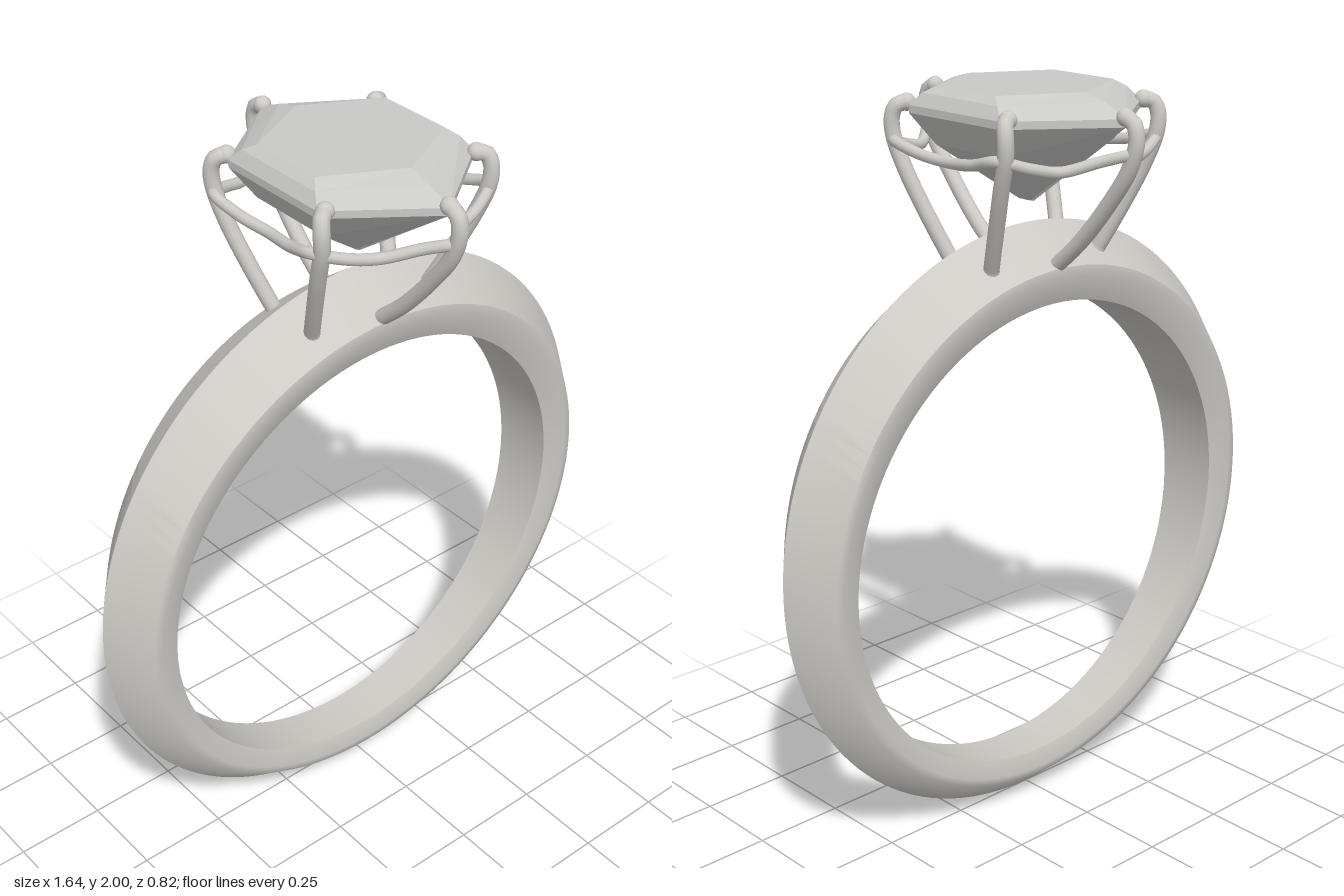
import * as THREE from 'three';
import { toCreasedNormals } from 'three/addons/utils/BufferGeometryUtils.js';

const V = (x, y, z) => new THREE.Vector3(x, y, z);

// Skin between rows of points; each row is a closed loop.
function loft(rows, capped) {
  const n = rows[0].length, pos = [];
  const tri = (...pts) => pts.forEach((p) => pos.push(p.x, p.y, p.z));
  for (let r = 0; r < rows.length - 1; r++) {
    for (let i = 0; i < n; i++) {
      const j = (i + 1) % n, a = rows[r], b = rows[r + 1];
      tri(a[i], b[i], a[j]);
      tri(a[j], b[i], b[j]);
    }
  }
  if (capped) {
    const top = rows[0], bottom = rows[rows.length - 1];
    for (let i = 1; i < n - 1; i++) {
      tri(top[0], top[i], top[i + 1]);
      tri(bottom[0], bottom[i + 1], bottom[i]);
    }
  }
  const g = new THREE.BufferGeometry();
  g.setAttribute('position', new THREE.Float32BufferAttribute(pos, 3));
  g.computeVertexNormals();
  return g;
}

export function createModel() {
  const model = new THREE.Group();
  const metal = new THREE.MeshStandardMaterial({ color: 0xcdcac5 });
  metal.name = 'metal';
  const stone = new THREE.MeshStandardMaterial({ color: 0xc9c9c8 });
  stone.name = 'stone';
  const add = (geometry, material, name, parent = model) => {
    const mesh = new THREE.Mesh(geometry, material);
    mesh.name = name;
    parent.add(mesh);
    return mesh;
  };

  // Band: ridged section, wider towards the top. [radius, centre height, width factor]
  const profile = [
    [0.82, 0.82, 0],
    [0.738, 0.803, 0.97], [0.715, 0.8, 1], [0.655, 0.7875, 0.8],
    [0.655, 0.7875, -0.8], [0.715, 0.8, -1], [0.738, 0.803, -0.97],
    [0.82, 0.82, 0],
  ];
  const bandRows = profile.map(([r, cy, w]) => {
    const row = [];
    for (let i = 0; i < 128; i++) {
      const a = -i / 128 * Math.PI * 2;
      const y = cy + r * Math.sin(a);
      row.push(V(r * Math.cos(a), y, w * (0.077 + 0.041 * y)));
    }
    return row;
  });
  add(toCreasedNormals(loft(bandRows, false), 0.8), metal, 'band');

  // Gem: stacked long hexagons. [height, half width, side corner z, point z]
  const gemRows = [
    [2.0, 0.203, 0.11, 0.218],
    [1.982, 0.226, 0.14, 0.283],
    [1.95, 0.245, 0.17, 0.353],
    [1.93, 0.245, 0.17, 0.353],
    [1.85, 0.195, 0.125, 0.24],
    [1.7, 0.004, 0.02, 0.03],
  ].map(([y, x, c, p]) => [
    V(0, y, p), V(x, y, c), V(x, y, -c), V(0, y, -p), V(-x, y, -c), V(-x, y, c),
  ]);
  add(loft(gemRows, true), stone, 'gem');

  // Prongs with rounded tips
  const pointProng = [
    [0, 1.54, 0.11], [0, 1.62, 0.2], [0, 1.74, 0.305], [0, 1.83, 0.368],
    [0, 1.9, 0.39], [0, 1.94, 0.382], [0, 1.955, 0.352],
  ];
  const cornerProng = [
    [0.19, 1.555, 0.075], [0.22, 1.66, 0.125], [0.25, 1.78, 0.178],
    [0.264, 1.87, 0.21], [0.266, 1.92, 0.212], [0.258, 1.948, 0.202], [0.236, 1.955, 0.188],
  ];
  const addProng = (path, sx, sz, name) => {
    const pts = path.map(([x, y, z]) => V(x * sx, y, z * sz));
    const prong = new THREE.Group();
    prong.name = name;
    model.add(prong);
    add(new THREE.TubeGeometry(new THREE.CatmullRomCurve3(pts), 32, 0.021, 12), metal, 'prongWire', prong);
    const tip = add(new THREE.SphereGeometry(0.023, 16, 12), metal, 'prongTip', prong);
    tip.position.copy(pts[pts.length - 1]);
    const foot = add(new THREE.SphereGeometry(0.022, 16, 12), metal, 'prongFoot', prong);
    foot.position.copy(pts[0]);
  };
  for (const sz of [1, -1]) {
    const end = sz > 0 ? 'front' : 'back';
    addProng(pointProng, 1, sz, end + 'Prong');
    addProng(cornerProng, 1, sz, end + 'LeftProng');
    addProng(cornerProng, -1, sz, end + 'RightProng');
  }

  // Wavy gallery wire joining the prongs
  const wire = [
    [0, 1.868, 0.378], [0.055, 1.85, 0.325], [0.13, 1.825, 0.262], [0.21, 1.84, 0.235],
    [0.275, 1.86, 0.195], [0.27, 1.838, 0.1], [0.257, 1.828, 0],
    [0.27, 1.838, -0.1], [0.275, 1.86, -0.195], [0.21, 1.84, -0.235],
    [0.13, 1.825, -0.262], [0.055, 1.85, -0.325], [0, 1.868, -0.378],
  ].map((p) => V(...p));
  const mirrored = wire.slice(1, -1).reverse().map((p) => V(-p.x, p.y, p.z));
  const loop = new THREE.CatmullRomCurve3([...wire, ...mirrored], true);
  add(new THREE.TubeGeometry(loop, 160, 0.015, 10, true), metal, 'galleryWire');

  return model;
}
